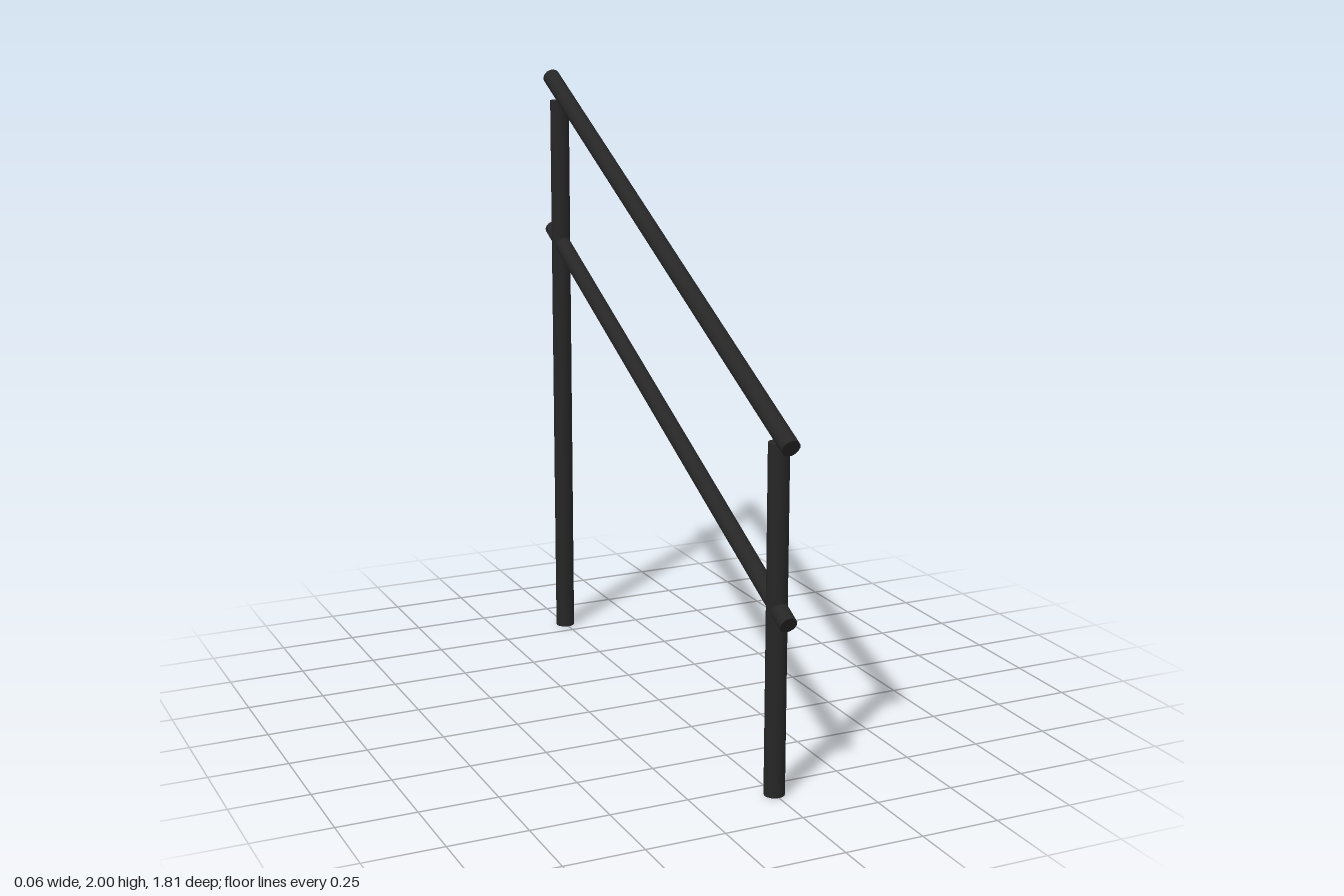
import * as THREE from 'three';

export function createModel() {
  const group = new THREE.Group();
  const blackMetal = new THREE.MeshStandardMaterial({ color: 0x262627 });

  // Round bar between two points in the x = 0 plane, given as [y, z]
  function bar(name, radius, [y0, z0], [y1, z1]) {
    const a = new THREE.Vector3(0, y0, z0);
    const b = new THREE.Vector3(0, y1, z1);
    const geometry = new THREE.CylinderGeometry(radius, radius, a.distanceTo(b), 16);
    const mesh = new THREE.Mesh(geometry, blackMetal);
    mesh.name = name;
    mesh.position.copy(a).lerp(b, 0.5);
    mesh.quaternion.setFromUnitVectors(new THREE.Vector3(0, 1, 0), b.sub(a).normalize());
    group.add(mesh);
  }

  // Upright posts
  bar('frontPost', 0.032, [0, 0.82], [1.08, 0.82]);
  bar('backPost', 0.032, [0, -0.82], [1.9, -0.82]);

  // Sloping rails
  bar('handRail', 0.029, [1.078, 0.893], [1.974, -0.893]);
  bar('middleRail', 0.028, [0.552, 0.893], [1.448, -0.893]);

  group.name = 'stairRailing';
  return group;
}
